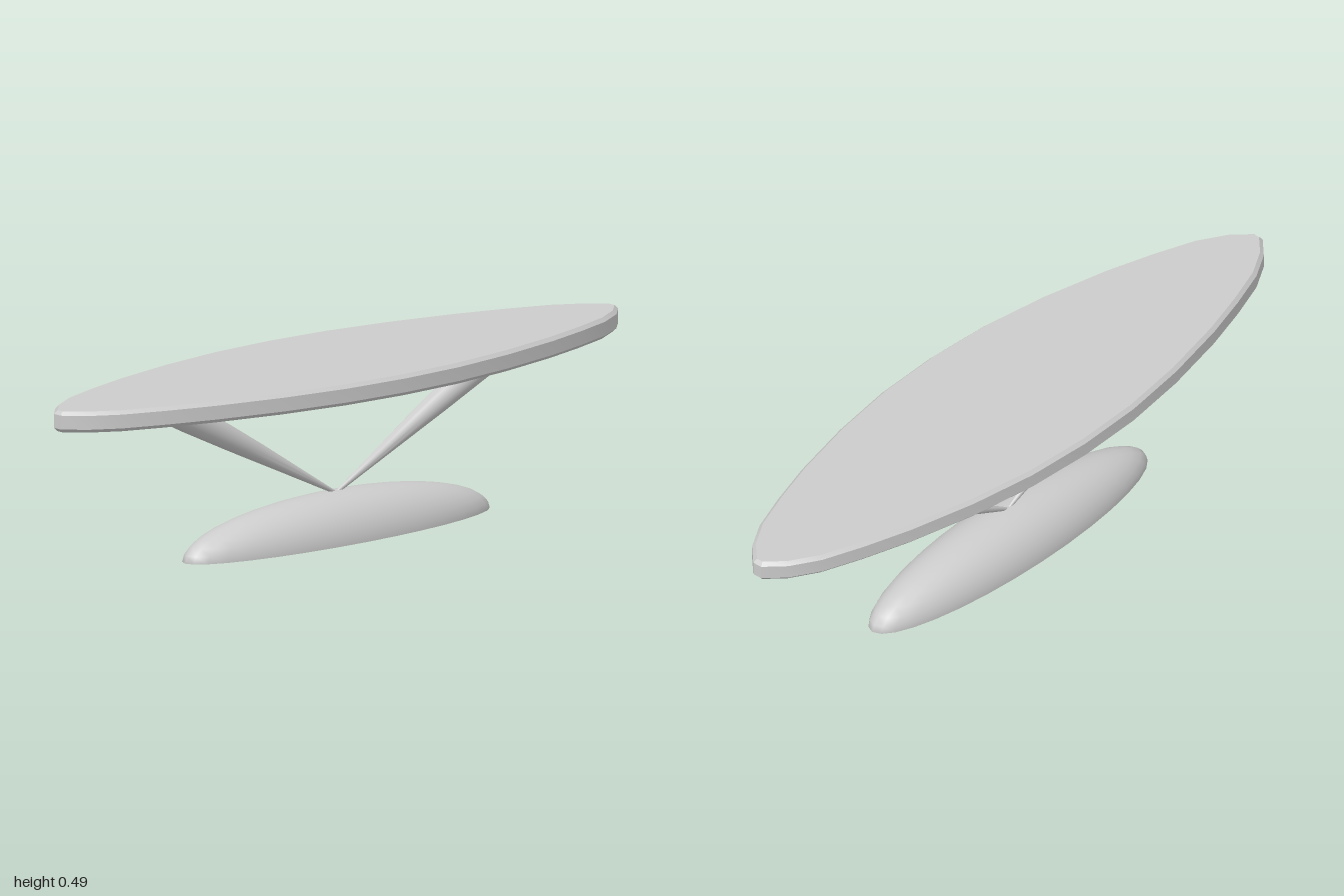
import * as THREE from 'three';
import { toCreasedNormals } from 'three/addons/utils/BufferGeometryUtils.js';

const material = new THREE.MeshStandardMaterial({ color: 0xcccccc });
const shellMaterial = new THREE.MeshStandardMaterial({ color: 0xcccccc, side: THREE.DoubleSide });

function addMesh(group, name, geometry, mat = material) {
  const mesh = new THREE.Mesh(geometry, mat);
  mesh.name = name;
  group.add(mesh);
}

// Lens-shaped slab with a small chamfer along both rims
function tabletopGeometry() {
  const bevel = 0.01;
  const quarter = [[0.988, 0.01], [0.94, 0.058], [0.86, 0.105], [0.74, 0.148],
    [0.6, 0.19], [0.4, 0.235], [0.2, 0.264]];
  const flip = (sx, sz) => quarter.map(([x, z]) => new THREE.Vector2(x * sx, z * sz));
  const outline = [
    ...flip(1, 1), new THREE.Vector2(0, 0.273), ...flip(-1, 1).reverse(),
    ...flip(-1, -1), new THREE.Vector2(0, -0.273), ...flip(1, -1).reverse(),
  ];
  const geometry = new THREE.ExtrudeGeometry(new THREE.Shape(outline), {
    depth: 0.038, bevelEnabled: true, bevelSize: bevel, bevelThickness: bevel, bevelSegments: 1,
  });
  geometry.rotateX(-Math.PI / 2).translate(0, 0.44, 0);
  return toCreasedNormals(geometry, 0.5);
}

// Round tapered leg, leaning outward and cut level under the tabletop
function legGeometry(side) {
  const profile = [[0.004, 0.115], [0.015, 0.2], [0.027, 0.29], [0.035, 0.365], [0.038, 0.435]]
    .map(([r, y]) => new THREE.Vector2(r, y));
  const geometry = new THREE.LatheGeometry(profile, 24);
  const p = geometry.attributes.position;
  for (let i = 0; i < p.count; i++) {
    p.setX(i, p.getX(i) * 2.3 + side * (p.getY(i) - 0.115) * 1.88);
  }
  return toCreasedNormals(geometry, 1);
}

export function createModel() {
  const group = new THREE.Group();
  group.name = 'table';

  addMesh(group, 'tabletop', tabletopGeometry());
  addMesh(group, 'leftLeg', legGeometry(1));
  addMesh(group, 'rightLeg', legGeometry(-1));

  // Hollow half-ellipsoid base, open underneath
  const base = new THREE.SphereGeometry(1, 32, 10, 0, Math.PI * 2, 0, Math.PI / 2);
  base.scale(0.54, 0.123, 0.123);
  addMesh(group, 'base', base, shellMaterial);

  return group;
}
